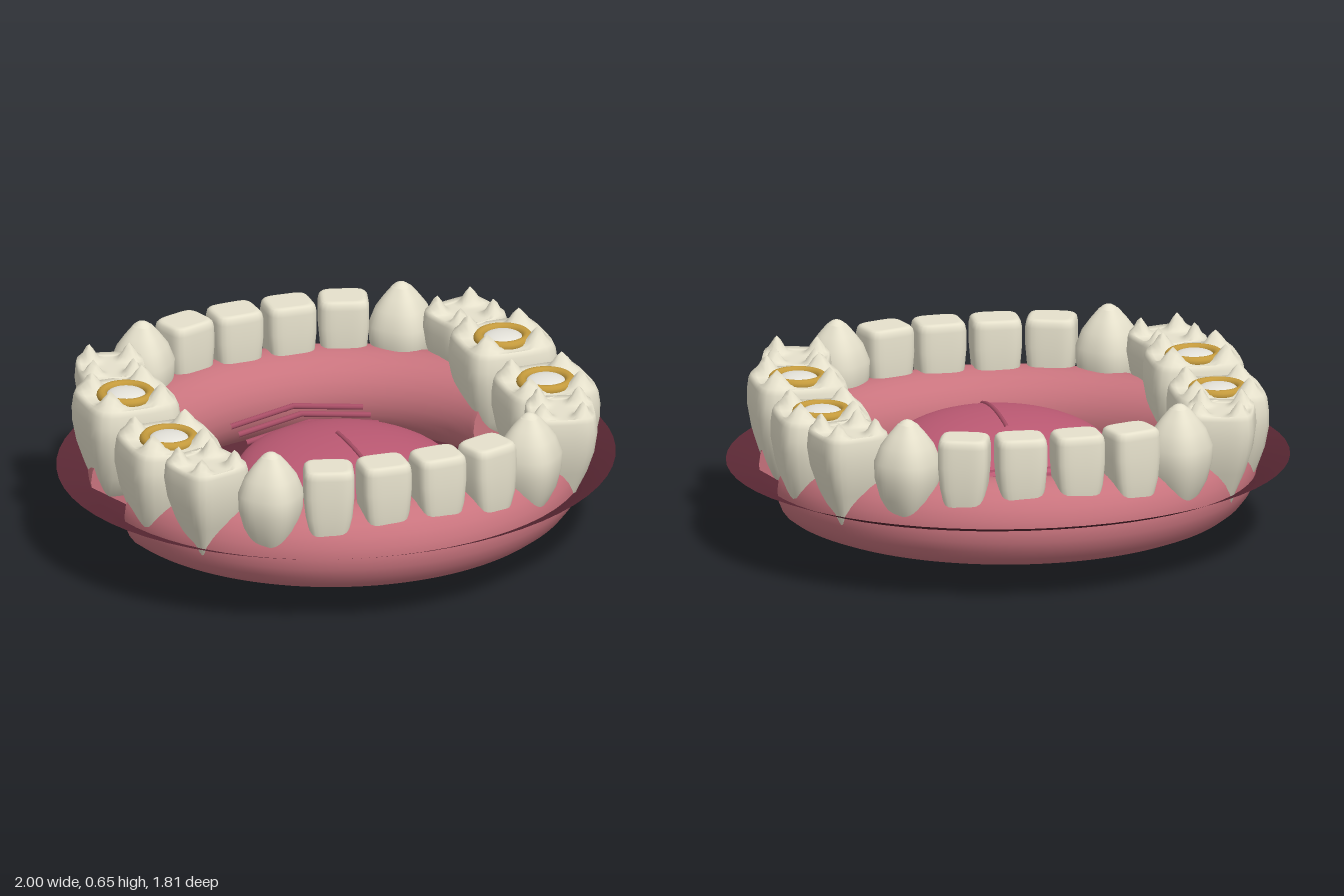
import * as THREE from 'three';

const mat = (color, side = THREE.FrontSide) =>
  new THREE.MeshStandardMaterial({ color, side, roughness: 0.7 });
const toothMat = mat(0xe6e1cc), gumMat = mat(0xc9747e), tongueMat = mat(0xbd5a74);
const ridgeMat = mat(0xa84e66), goldMat = mat(0xc49a3c), fillMat = mat(0xe4e2da);
const dishMat = mat(0x5a2834, THREE.DoubleSide);

function add(parent, name, geometry, material) {
  const mesh = new THREE.Mesh(geometry, material);
  mesh.name = name;
  parent.add(mesh);
  return mesh;
}

// Skin a list of equal-length closed rings into a smooth surface
function loft(rings) {
  const n = rings[0].length, index = [];
  for (let i = 0; i < rings.length - 1; i++) {
    for (let j = 0; j < n; j++) {
      const a = i * n + j, b = i * n + (j + 1) % n;
      index.push(a, a + n, b, b, a + n, b + n);
    }
  }
  const g = new THREE.BufferGeometry().setFromPoints(rings.flat());
  g.setIndex(index);
  g.computeVertexNormals();
  return g;
}

// Rounded-square outline in the range -1..1
function outline(power, count = 40) {
  return Array.from({ length: count }, (_, j) => {
    const a = (j / count) * Math.PI * 2, c = Math.cos(a), s = Math.sin(a);
    const r = Math.pow(Math.abs(c) ** power + Math.abs(s) ** power, -1 / power);
    return [c * r, s * r];
  });
}

// Tooth: side rows [y, width scale, depth scale], then a crown cap of given height rule
function toothGeometry({ w, d, power, rows, crown }) {
  const shape = outline(power);
  const [, tw, td] = rows[rows.length - 1];
  const rings = [shape.map(() => new THREE.Vector3(0, rows[0][0], 0))];
  for (const [y, sw, sd] of rows)
    rings.push(shape.map(([u, v]) => new THREE.Vector3(u * w * sw, y, v * d * sd)));
  const steps = 10;
  for (let k = 1; k <= steps; k++) {
    const t = 1 - k / steps;
    rings.push(shape.map(([u, v]) =>
      new THREE.Vector3(u * w * tw * t, crown(u * t, v * t), v * d * td * t)));
  }
  return loft(rings);
}

// Four cusps around a central hollow
const cusps = (base, height) => (u, v) => base + height *
  Math.exp(-((Math.abs(u) - 0.62) ** 2 + (Math.abs(v) - 0.62) ** 2) / 0.055);

const incisorRows = [[0.24, 0.45, 0.5], [0.34, 0.72, 0.8], [0.42, 0.92, 0.97], [0.5, 1, 1],
  [0.57, 1, 0.98], [0.589, 0.96, 0.93], [0.597, 0.88, 0.84]];
const incisor = { w: 0.09, d: 0.08, power: 5, rows: incisorRows, crown: () => 0.6 };
const canine = {
  w: 0.108, d: 0.108, power: 2.8,
  rows: [[0.23, 0.12, 0.12], [0.3, 0.5, 0.5], [0.37, 0.82, 0.82], [0.44, 0.98, 0.98],
    [0.5, 1, 1], [0.56, 0.8, 0.8], [0.6, 0.55, 0.55], [0.635, 0.3, 0.3]],
  crown: (u, v) => 0.652 - 0.017 * (u * u + v * v),
};
const premolar = {
  w: 0.122, d: 0.125, power: 5,
  rows: [[0.22, 0.3, 0.3], [0.28, 0.45, 0.45], [0.36, 0.75, 0.72], [0.44, 0.93, 0.92],
    [0.51, 1, 1], [0.56, 0.97, 0.97], [0.578, 0.93, 0.93]],
  crown: cusps(0.568, 0.062),
};
const molar = {
  w: 0.163, d: 0.168, power: 5,
  rows: [[0.22, 0.45, 0.6], [0.3, 0.68, 0.78], [0.38, 0.89, 0.92], [0.46, 0.99, 1],
    [0.51, 1, 1], [0.555, 0.96, 0.97], [0.575, 0.91, 0.92]],
  crown: cusps(0.567, 0.068),
};

// One quarter of the arch: x, z, outward turn in degrees
const quarter = [
  ['centralIncisor', incisor, 0.102, 0.73, 3],
  ['lateralIncisor', incisor, 0.3, 0.705, 18],
  ['canine', canine, 0.49, 0.63, 46],
  ['premolar', premolar, 0.67, 0.467, 75],
  ['molar', molar, 0.713, 0.21, 90],
];

// Half-ellipse gum with a round section and capped ends
function gumGeometry() {
  const A = 0.725, B = 0.7, R = 0.155, steps = 64, sides = 24, start = Math.asin(0.19);
  const ring = (t, r) => {
    const out = new THREE.Vector3(B * Math.cos(t), 0, A * Math.sin(t)).normalize();
    return Array.from({ length: sides }, (_, j) => {
      const a = (j / sides) * Math.PI * 2;
      return new THREE.Vector3(A * Math.cos(t), 0.275 - r * Math.sin(a), B * Math.sin(t))
        .addScaledVector(out, r * Math.cos(a));
    });
  };
  const end = Math.PI - start;
  const rings = [ring(start, 0), ring(start, R)];
  for (let i = 0; i <= steps; i++) rings.push(ring(start + (end - start) * i / steps, R));
  rings.push(ring(end, R), ring(end, 0));
  return loft(rings);
}

export function createModel() {
  const model = new THREE.Group();
  model.name = 'openMouth';

  // Shallow oval dish
  const profile = [[0, 0.005], [0.33, 0.038], [0.65, 0.12], [0.89, 0.262], [1, 0.305]]
    .map(([x, y]) => new THREE.Vector2(x, y));
  add(model, 'mouthDish', new THREE.LatheGeometry(profile, 64), dishMat).scale.z = 0.905;

  // Front and back gums
  const gum = gumGeometry();
  add(model, 'frontGum', gum, gumMat);
  add(model, 'backGum', gum, gumMat).rotation.y = Math.PI;

  // Teeth in four mirrored quarters, with a gold-rimmed filling in each molar
  const ringGeo = new THREE.TorusGeometry(0.086, 0.019, 12, 40).rotateX(Math.PI / 2);
  const domeGeo = new THREE.SphereGeometry(0.07, 32, 16).scale(1, 0.28, 1);
  for (const [name, spec, x, z, turn] of quarter) {
    const geo = toothGeometry(spec);
    const a = THREE.MathUtils.degToRad(turn);
    for (const sz of [1, -1]) for (const sx of [1, -1]) {
      const tooth = new THREE.Group();
      tooth.name = (sz > 0 ? 'front' : 'back') + (sx > 0 ? 'Left_' : 'Right_') + name;
      tooth.position.set(sx * x, 0, sz * z);
      tooth.rotation.y = Math.atan2(sx * Math.sin(a), sz * Math.cos(a));
      add(tooth, 'crown', geo, toothMat);
      if (name === 'molar') {
        add(tooth, 'goldRing', ringGeo, goldMat).position.y = 0.572;
        add(tooth, 'filling', domeGeo, fillMat).position.y = 0.572;
      }
      model.add(tooth);
    }
  }

  // Tongue with a centre groove
  const tongue = add(model, 'tongue', new THREE.SphereGeometry(1, 48, 32), tongueMat);
  tongue.scale.set(0.4, 0.14, 0.45);
  tongue.position.set(0, 0.27, 0.13);
  const groove = Array.from({ length: 7 }, (_, i) => {
    const z = 0.015 + i * 0.074;
    return new THREE.Vector3(0, 0.27 + 0.14 * Math.sqrt(1 - ((z - 0.13) / 0.45) ** 2), z);
  });
  add(model, 'tongueGroove',
    new THREE.TubeGeometry(new THREE.CatmullRomCurve3(groove), 24, 0.008, 8), ridgeMat);

  // Palate ridges behind the tongue
  for (const z of [-0.418, -0.342, -0.265]) {
    const path = new THREE.CurvePath();
    const tip = new THREE.Vector3(0, 0.335, z);
    path.add(new THREE.LineCurve3(new THREE.Vector3(-0.25, 0.305, z + 0.03), tip));
    path.add(new THREE.LineCurve3(tip, new THREE.Vector3(0.25, 0.305, z + 0.03)));
    add(model, 'palateRidge', new THREE.TubeGeometry(path, 16, 0.011, 8), ridgeMat);
  }
  return model;
}
